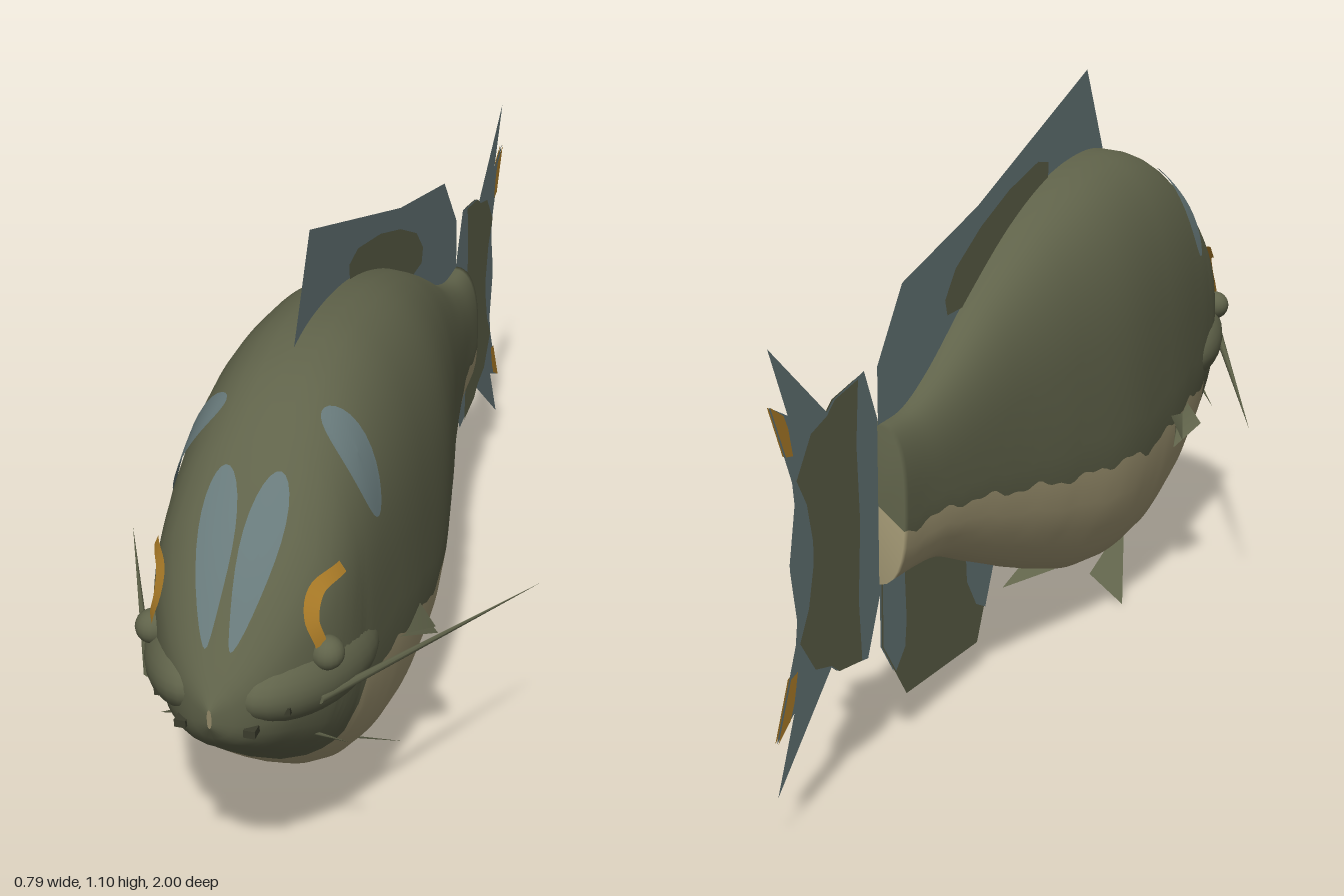
import * as THREE from 'three';

const paint = (name, color) => new THREE.MeshStandardMaterial({ name, color, side: THREE.DoubleSide });

// Body stations: z, top y, bottom y, half width
const STATIONS = [
  [-0.6, 0.61, 0.32, 0.05], [-0.5, 0.615, 0.318, 0.058], [-0.4, 0.65, 0.308, 0.072], [-0.2, 0.757, 0.235, 0.108],
  [0, 0.85, 0.16, 0.152], [0.2, 0.91, 0.097, 0.19], [0.4, 0.93, 0.08, 0.2], [0.5, 0.922, 0.097, 0.199],
  [0.6, 0.895, 0.13, 0.193], [0.7, 0.84, 0.187, 0.184], [0.8, 0.75, 0.262, 0.168], [0.88, 0.66, 0.325, 0.132],
  [0.94, 0.575, 0.37, 0.088], [0.98, 0.515, 0.41, 0.042], [1, 0.48, 0.445, 0.004],
];
// Height of the pale belly's upper edge: z, y
const BELLY = [
  [-0.6, 0.42], [-0.4, 0.42], [-0.2, 0.39], [0, 0.36], [0.2, 0.352], [0.3, 0.34], [0.4, 0.36],
  [0.55, 0.385], [0.7, 0.385], [0.73, 0.29], [0.78, 0.265], [0.83, 0.25], [1, 0.25],
];
const XP = 0.85, YP = 0.75;
const spline = (rows) => new THREE.CubicInterpolant(rows.map((r) => r[0]), rows.flatMap((r) => r.slice(1)), rows[0].length - 1);
const bodySpline = spline(STATIONS);
const bellyLine = new THREE.LinearInterpolant(BELLY.map((r) => r[0]), BELLY.map((r) => r[1]), 1);

function section(z) {
  const [top, bottom, w] = bodySpline.evaluate(z);
  return { w, cy: (top + bottom) / 2, h: (top - bottom) / 2 };
}
const power = (v, p) => Math.sign(v) * Math.abs(v) ** p;

// Point on the skin; angle 0 is the back, PI the belly
function skin(z, angle, lift = 0) {
  const { w, cy, h } = section(z);
  return [power(Math.sin(angle), XP) * (w + lift), cy + power(Math.cos(angle), YP) * (h + lift), z];
}
function angleAt(z, y) {
  const { cy, h } = section(z);
  return Math.acos(power(THREE.MathUtils.clamp((y - cy) / h, -1, 1), 1 / YP));
}

function surface(points, index) {
  const g = new THREE.BufferGeometry();
  g.setAttribute('position', new THREE.Float32BufferAttribute(points, 3));
  g.setIndex(index);
  g.computeVertexNormals();
  return g;
}

function bodyGeometry() {
  const rings = 100, side = 12, under = 12, n = side * 2 + under;
  const points = [], back = [], belly = [];
  for (let i = 0; i <= rings; i++) {
    const z = 1 - (1.6 * i) / rings;
    const wave = z < 0.7 ? 0.006 * Math.sin(z * 37) + 0.004 * Math.sin(z * 83) : 0;
    const edge = angleAt(z, bellyLine.evaluate(z)[0] + wave);
    for (let j = 0; j < n; j++) {
      let a;
      if (j <= side) a = (edge * j) / side;
      else if (j <= side + under) a = edge + ((2 * Math.PI - 2 * edge) * (j - side)) / under;
      else a = 2 * Math.PI - (edge * (n - j)) / side;
      points.push(...skin(z, a));
    }
  }
  const end = points.length / 3;
  points.push(0, 0.465, -0.6);
  for (let j = 0; j < n; j++) {
    const list = j >= side && j < side + under ? belly : back;
    const k = (j + 1) % n;
    for (let i = 0; i < rings; i++) {
      const a = i * n + j, b = i * n + k;
      list.push(a, b, a + n, b, b + n, a + n);
    }
    list.push(rings * n + j, rings * n + k, end);
  }
  const g = surface(points, [...back, ...belly]);
  g.addGroup(0, back.length, 0);
  g.addGroup(back.length, belly.length, 1);
  return g;
}

// Oval marking that follows the skin
function spotGeometry(z, dz, angle, da, sign) {
  const points = [], index = [], steps = 28, layers = 5;
  for (let r = 0; r <= layers; r++) {
    for (let s = 0; s < steps; s++) {
      const p = (s / steps) * Math.PI * 2, k = r / layers;
      points.push(...skin(z + dz * k * Math.cos(p), sign * (angle + da * k * Math.sin(p)), 0.004));
      if (r < layers) {
        const a = r * steps + s, b = r * steps + ((s + 1) % steps);
        const tri = [a, a + steps, b, b, a + steps, b + steps];
        index.push(...(sign > 0 ? tri : tri.reverse()));
      }
    }
  }
  return surface(points, index);
}

// Curved strip above the eye
function browGeometry(sign) {
  const path = new THREE.CatmullRomCurve3([[0.862, 0.545], [0.868, 0.59], [0.84, 0.635], [0.785, 0.652]]
    .map(([z, y]) => new THREE.Vector3(z, y, 0)));
  const points = [], index = [], steps = 16;
  for (let i = 0; i <= steps; i++) {
    const p = path.getPoint(i / steps), t = path.getTangent(i / steps);
    for (const o of [-0.011, 0.011]) {
      const z = p.x - t.y * o, y = p.y + t.x * o;
      points.push(...skin(z, sign * angleAt(z, y), 0.009));
    }
    if (i < steps) {
      const a = i * 2;
      const tri = [a, a + 2, a + 1, a + 1, a + 2, a + 3];
      index.push(...(sign < 0 ? tri : tri.reverse()));
    }
  }
  return surface(points, index);
}

// Flat outline given as z, y pairs, standing on the centre plane
function plate(outline, x = 0) {
  const g = new THREE.ShapeGeometry(new THREE.Shape(outline.map(([z, y]) => new THREE.Vector2(z, y))));
  return g.rotateY(-Math.PI / 2).translate(x, 0, 0);
}
const flip = (outline) => outline.map(([z, y]) => [z, 0.92 - y]);
const mirrored = (half) => [...half, ...flip(half).reverse()];

function leaf(corners, sign) {
  const points = corners.flatMap(([x, y, z]) => [x * sign, y, z]);
  const index = [];
  for (let i = 1; i < corners.length - 1; i++) index.push(0, i, i + 1);
  return surface(points, index);
}

function whisker(from, to, radius, sign) {
  const a = new THREE.Vector3(from[0] * sign, from[1], from[2]);
  const b = new THREE.Vector3(to[0] * sign, to[1], to[2]);
  const dir = b.clone().sub(a);
  const g = new THREE.ConeGeometry(radius, dir.length(), 8);
  g.applyQuaternion(new THREE.Quaternion().setFromUnitVectors(new THREE.Vector3(0, 1, 0), dir.normalize()));
  return g.translate(...a.add(b).multiplyScalar(0.5).toArray());
}

export function createModel() {
  const olive = paint('olive skin', 0x60634a), cream = paint('cream belly', 0xa89d78);
  const blue = paint('blue grey fin', 0x687a7b), gold = paint('gold trim', 0xb5832a);
  const dark = paint('dark nostril', 0x3a3c2c);
  const model = new THREE.Group();
  model.name = 'fish';
  const add = (name, geometry, material) => {
    const mesh = new THREE.Mesh(geometry, material);
    mesh.name = name;
    model.add(mesh);
    return mesh;
  };

  add('body', bodyGeometry(), [olive, cream]);

  // Unpaired fins
  add('dorsalFin', plate([[0.53, 0.91], [0.43, 1.095], [-0.15, 0.915], [-0.49, 0.84], [-0.597, 0.715],
    [-0.597, 0.6], [-0.4, 0.62], [0, 0.8], [0.4, 0.88]]), blue);
  add('analFin', plate([[-0.05, 0.22], [-0.085, 0.19], [-0.16, 0.058], [-0.49, 0.075], [-0.592, 0.2],
    [-0.592, 0.33], [-0.4, 0.34], [-0.2, 0.28]]), olive);
  add('tailFin', plate(mirrored([[-0.598, 0.62], [-0.65, 0.72], [-0.77, 0.7], [-0.795, 0.685], [-1, 0.84],
    [-0.935, 0.715], [-1, 0.745], [-0.925, 0.6], [-0.918, 0.56], [-0.94, 0.465]])), blue);

  // Fin markings on both faces
  const tailTip = [[-0.925, 0.645], [-0.94, 0.695], [-0.955, 0.72], [-1, 0.745], [-0.95, 0.65]];
  for (const x of [-0.003, 0.003]) {
    add('dorsalMarking', plate([[0.2, 0.85], [0.205, 0.94], [0.15, 0.95], [0, 0.92], [-0.14, 0.875], [-0.26, 0.82],
      [-0.31, 0.77], [-0.3, 0.74], [-0.23, 0.74], [-0.1, 0.76]], x), olive);
    add('analFrontMarking', plate([[-0.05, 0.22], [-0.085, 0.19], [-0.125, 0.12], [-0.17, 0.14], [-0.215, 0.2],
      [-0.22, 0.26]], x), blue);
    add('analRearMarking', plate([[-0.5, 0.33], [-0.493, 0.22], [-0.5, 0.17], [-0.54, 0.137], [-0.592, 0.2],
      [-0.592, 0.33]], x), blue);
    add('tailMarking', plate(mirrored([[-0.68, 0.46], [-0.69, 0.6], [-0.68, 0.713], [-0.77, 0.7], [-0.8, 0.68],
      [-0.86, 0.665], [-0.915, 0.6], [-0.88, 0.55], [-0.86, 0.48]]), x), olive);
    add('upperTailTip', plate(tailTip, x), gold);
    add('lowerTailTip', plate(flip(tailTip), x), gold);
  }

  // Paired parts
  for (const s of [1, -1]) {
    const cheek = add('cheek', new THREE.SphereGeometry(1, 28, 18), olive);
    cheek.scale.set(0.088, 0.078, 0.19);
    cheek.position.set(0.097 * s, 0.463, 0.79);
    cheek.rotation.set(-0.12, -0.28 * s, 0, 'YXZ');

    const eye = add('eye', new THREE.SphereGeometry(0.03, 18, 12), olive);
    eye.position.set(0.153 * s, 0.525, 0.845);
    add('brow', browGeometry(s), gold);

    add('headMarking', spotGeometry(0.85, 0.1, 0.21, 0.19, s), blue);
    add('sideMarking', spotGeometry(0.64, 0.04, 0.8, 0.42, s), blue);

    for (const [x, y, z] of [[0.108, 0.46, 0.925], [0.06, 0.43, 0.963]]) {
      const nostril = add('nostril', new THREE.BoxGeometry(0.02, 0.014, 0.03), dark);
      nostril.position.set(x * s, y, z);
    }

    add('longBarbel', whisker([0.15, 0.455, 0.88], [0.395, 0.402, 0.32], 0.009, s), olive);
    add('chinBarbel', whisker([0.1, 0.37, 0.85], [0.172, 0.31, 0.78], 0.006, s), olive);

    add('pectoralFin', leaf([[0.175, 0.39, 0.56], [0.245, 0.36, 0.47], [0.212, 0.325, 0.39], [0.2, 0.36, 0.44],
      [0.225, 0.335, 0.41], [0.185, 0.405, 0.42]], s), olive);
    add('pelvicFin', leaf([[0.07, 0.118, 0.49], [0.135, 0, 0.3], [0.04, 0.035, 0.36]], s), olive);
  }
  return model;
}
